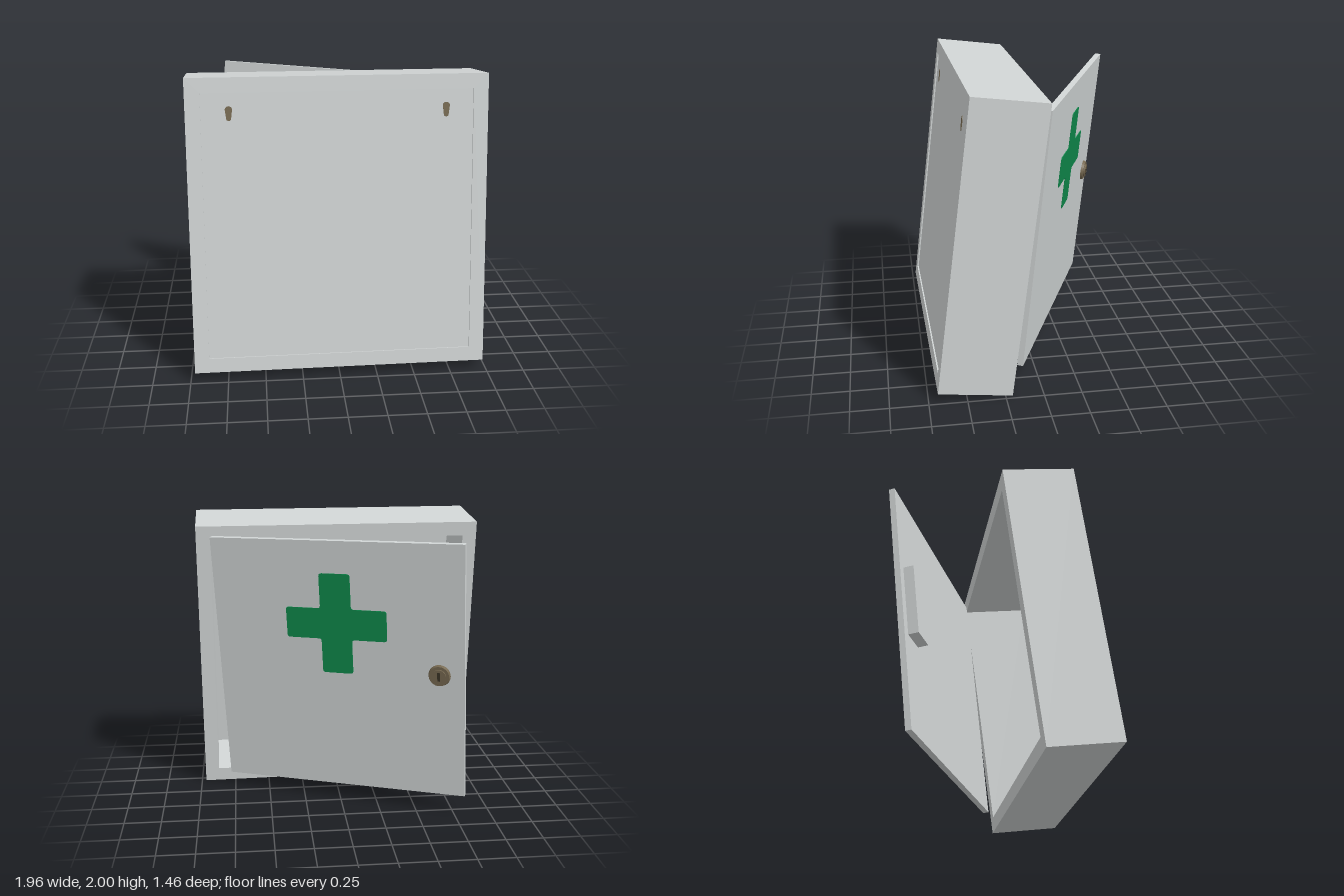
import * as THREE from 'three';

const material = (name, color) => {
  const m = new THREE.MeshStandardMaterial({ color });
  m.name = name;
  return m;
};

export function createModel() {
  const paint = material('pale grey paint', 0xd0d4d4);
  const green = material('green', 0x0f8a4c);
  const bronze = material('bronze', 0x756850);
  const dark = material('dark slot', 0x3a3326);

  const add = (parent, name, geometry, mat, x = 0, y = 0, z = 0) => {
    const mesh = new THREE.Mesh(geometry, mat);
    mesh.name = name;
    mesh.position.set(x, y, z);
    parent.add(mesh);
    return mesh;
  };
  const square = (Type, h) => new Type([
    new THREE.Vector2(-h, -h), new THREE.Vector2(h, -h),
    new THREE.Vector2(h, h), new THREE.Vector2(-h, h),
  ]);

  const model = new THREE.Group();
  model.name = 'medicineCabinet';

  // Cabinet: tilted square frame closed by a slightly recessed back panel (+z)
  const cabinet = new THREE.Group();
  cabinet.name = 'cabinet';
  cabinet.position.set(0, 1.0, 0.347);
  cabinet.rotation.set(-0.123, 0.0206, 0);
  model.add(cabinet);

  const depth = 0.49, half = 0.975, inner = 0.878;
  const outline = square(THREE.Shape, half);
  outline.holes.push(square(THREE.Path, inner));
  const frame = new THREE.ExtrudeGeometry(outline, { depth, bevelEnabled: false });
  add(cabinet, 'frame', frame, paint, 0, 0, -depth / 2);
  add(cabinet, 'backPanel', new THREE.BoxGeometry(inner * 2, inner * 2, 0.015), paint, 0, 0, depth / 2 - 0.0175);

  // Hanging slots on the back panel
  for (const side of [-1, 1]) {
    const slot = new THREE.Shape();
    slot.absarc(0, 0.025, 0.023, 0, Math.PI);
    slot.absarc(0, -0.03, 0.016, Math.PI, Math.PI * 2);
    add(cabinet, 'hangingSlot', new THREE.ExtrudeGeometry(slot, { depth: 0.004, bevelEnabled: false }),
      bronze, side * 0.7, 0.745, depth / 2 - 0.011);
  }

  // Door: swung open and sagging, with its outside facing local -z
  const door = new THREE.Group();
  door.name = 'door';
  const across = new THREE.Vector3(0.921, -0.014, 0.389).normalize();
  const up = new THREE.Vector3(0.06, 0.994, -0.09);
  const inward = new THREE.Vector3().crossVectors(across, up).normalize();
  up.crossVectors(inward, across);
  door.quaternion.setFromRotationMatrix(new THREE.Matrix4().makeBasis(across, up, inward));
  door.position.set(0.019, 0.997, -0.295);
  model.add(door);

  const thick = 0.04;
  add(door, 'doorPanel', new THREE.BoxGeometry(1.737, 1.775, thick), paint);

  // Cross with softened corners
  const a = 0.35, b = 0.107, r = 0.02;
  const corners = [
    [b, -a], [b, -b], [a, -b], [a, b], [b, b], [b, a],
    [-b, a], [-b, b], [-a, b], [-a, -b], [-b, -b], [-b, -a],
  ].map(([x, y]) => new THREE.Vector2(x, y));
  const cross = new THREE.Shape();
  corners.forEach((p, i) => {
    const prev = corners[(i + 11) % 12], next = corners[(i + 1) % 12];
    const from = p.clone().add(prev.clone().sub(p).setLength(r));
    const to = p.clone().add(next.clone().sub(p).setLength(r));
    if (i === 0) cross.moveTo(from.x, from.y);
    else cross.lineTo(from.x, from.y);
    cross.quadraticCurveTo(p.x, p.y, to.x, to.y);
  });
  cross.closePath();
  add(door, 'cross', new THREE.ExtrudeGeometry(cross, { depth: 0.006, bevelEnabled: false, curveSegments: 4 }),
    green, 0, 0.317, -thick / 2 - 0.005);

  // Lock: rim, raised barrel and key slot outside, housing inside
  const lock = new THREE.Group();
  lock.name = 'lock';
  lock.position.set(-0.7, -0.003, -thick / 2);
  door.add(lock);
  const rim = add(lock, 'lockRim', new THREE.CylinderGeometry(0.075, 0.068, 0.02, 32), bronze, 0, 0, -0.01);
  const barrel = add(lock, 'lockBarrel', new THREE.CylinderGeometry(0.048, 0.048, 0.012, 32), bronze, 0, 0, -0.024);
  rim.rotation.x = barrel.rotation.x = Math.PI / 2;
  add(lock, 'keySlot', new THREE.BoxGeometry(0.018, 0.06, 0.004), dark, 0, 0, -0.031);
  add(door, 'lockHousing', new THREE.BoxGeometry(0.19, 0.5, 0.07), paint, -0.705, 0.04, thick / 2 + 0.035);

  return model;
}
